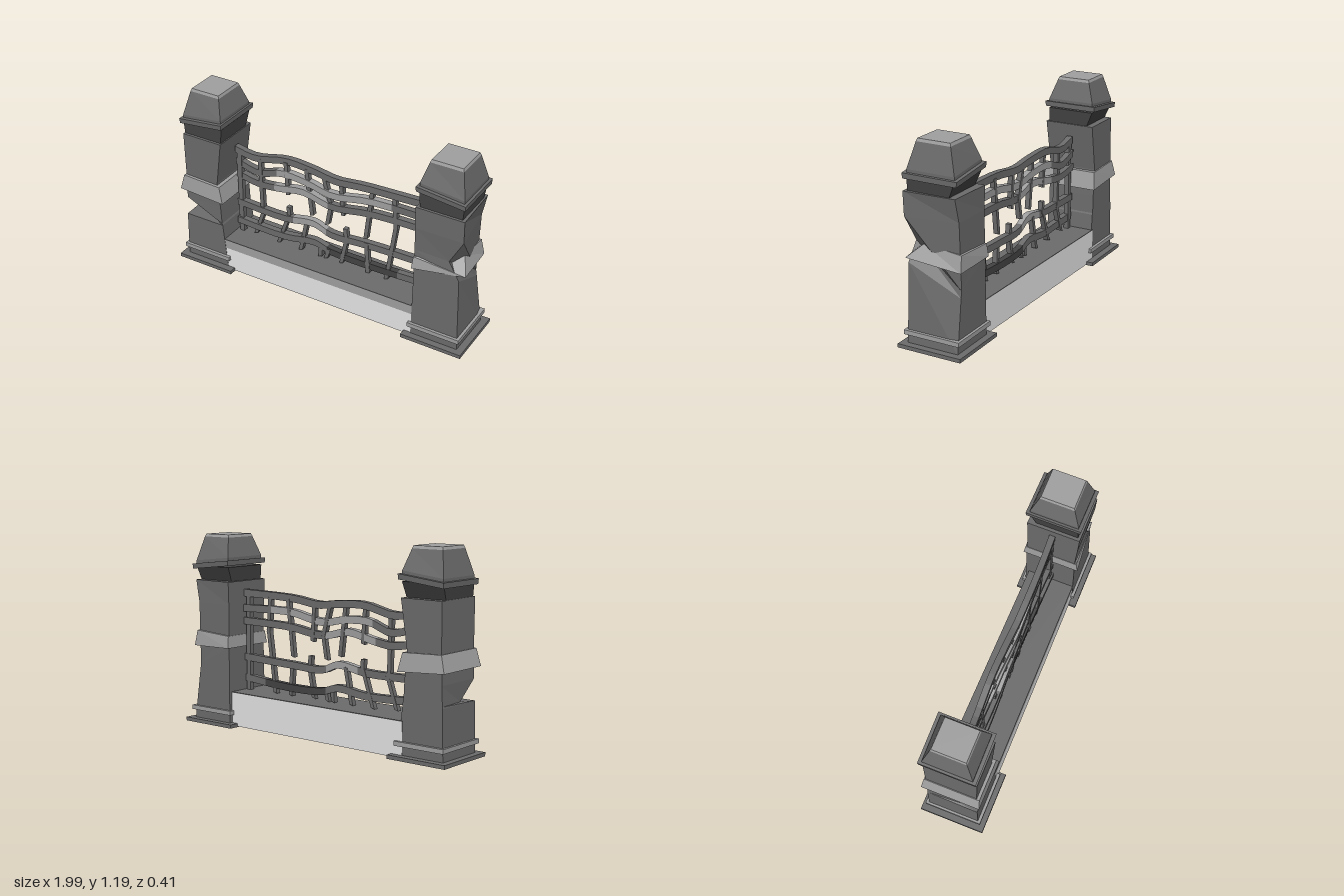
import * as THREE from 'three';

const mat = (name, color) => Object.assign(new THREE.MeshStandardMaterial({ color, flatShading: true }), { name });
const stone = mat('dark stone', 0x6b6b6b);
const trim = mat('trim stone', 0x9f9f9f);
const pale = mat('pale stone', 0xe4e4e4);
const shadowStone = mat('charcoal stone', 0x434343);

// Skins four-cornered cross-sections; pick(i, k) gives the material index of span i, side k.
function loft(name, rings, materials, pick = () => 0, endIndex = 0) {
  const pos = [];
  const geo = new THREE.BufferGeometry();
  const quad = (a, b, c, d, m) => {
    geo.addGroup(pos.length / 3, 6, m);
    for (const p of [a, b, c, a, c, d]) pos.push(...p);
  };
  const first = rings[0], last = rings[rings.length - 1];
  quad(first[3], first[2], first[1], first[0], 0);
  for (let i = 0; i < rings.length - 1; i++) {
    const a = rings[i], b = rings[i + 1];
    for (let k = 0; k < 4; k++) {
      const n = (k + 1) % 4;
      quad(a[n], b[n], b[k], a[k], pick(i, k));
    }
  }
  quad(last[0], last[1], last[2], last[3], endIndex);
  geo.setAttribute('position', new THREE.Float32BufferAttribute(pos, 3));
  geo.computeVertexNormals();
  const mesh = new THREE.Mesh(geo, materials);
  mesh.name = name;
  return mesh;
}

// Level rectangle; corners run front right, back right, back left, front left.
// slope tilts it along x, moved replaces chosen corners.
function rect(y, x0, x1, z0, z1, slope = 0, moved = {}) {
  const h = (x) => y + slope * (x - (x0 + x1) / 2);
  const r = [[x1, h(x1), z1], [x1, h(x1), z0], [x0, h(x0), z0], [x0, h(x0), z1]];
  for (const k in moved) r[k] = moved[k];
  return r;
}

// Plinth, foot trim, neck and cap shared by both pillars
function pillar(name, side, shaftRings, bandRings, capTilt) {
  const g = new THREE.Group();
  g.name = name;
  const c = 0.8 * side;
  const sq = (y, h, hz, s = 0) => rect(y, c - h, c + h, -hz, hz, s);
  g.add(
    loft('basePlate', [sq(0.005, 0.195, 0.203), sq(0.028, 0.195, 0.203)], [stone]),
    loft('footTrim', [sq(0.08, 0.167, 0.178), sq(0.107, 0.167, 0.178)], [trim]),
    loft('shaft', shaftRings, [stone]),
    loft('middleBand', bandRings, [trim]),
    loft('neck', [rect(0.9, c - 0.128, c + 0.132, -0.108, 0.152), sq(1.0, 0.138, 0.15)], [shadowStone]),
    loft('capLedge', [sq(0.995, 0.15, 0.168, capTilt), sq(1.027, 0.152, 0.172, capTilt)], [stone]),
    loft('cap', [
      sq(1.02, 0.137, 0.15, capTilt), sq(1.045, 0.137, 0.15, capTilt),
      sq(1.18, 0.102, 0.108), sq(1.197, 0.096, 0.102),
    ], [stone, trim], (i) => (i === 2 ? 1 : 0), 1),
  );
  return g;
}

// Wavy rail through [x, y] points; colour spans are [from, to, material index]
function rail(index, points, spans) {
  const curve = new THREE.CatmullRomCurve3(points.map(([x, y]) => new THREE.Vector3(x, y, 0)));
  const centres = curve.getPoints(20);
  const rings = centres.map((p) => {
    const z = 0.008 * Math.sin(p.x * 5 + index), y0 = p.y - 0.022, y1 = p.y + 0.022;
    return [[p.x, y0, z + 0.019], [p.x, y0, z - 0.019], [p.x, y1, z - 0.019], [p.x, y1, z + 0.019]];
  });
  const pick = (i) => {
    const x = (centres[i].x + centres[i + 1].x) / 2;
    const hit = spans.find(([a, b]) => x > a && x < b);
    return hit ? hit[2] : 0;
  };
  return loft('rail' + (index + 1), rings, [stone, trim, shadowStone], pick);
}

export function createModel() {
  const model = new THREE.Group();

  // Left-hand pillar with a chipped front outer corner
  model.add(pillar('chippedPillar', -1, [
    rect(0.02, -0.955, -0.65, -0.16, 0.16),
    rect(0.325, -0.948, -0.68, -0.158, 0.16),
    rect(0.335, -0.946, -0.685, -0.158, 0.158, 0, { 3: [-0.935, 0.335, 0.03] }),
    rect(0.45, -0.94, -0.69, -0.157, 0.158),
    rect(0.62, -0.935, -0.705, -0.156, 0.16),
    rect(0.91, -0.932, -0.66, -0.155, 0.168),
  ], [
    rect(0.51, -0.968, -0.655, -0.178, 0.185, -0.06),
    rect(0.615, -0.94, -0.68, -0.165, 0.178, -0.04),
  ], 0.11));

  // Right-hand pillar with a pinched back edge and a chipped front outer corner
  model.add(pillar('pinchedPillar', 1, [
    rect(0.02, 0.65, 0.953, -0.162, 0.162),
    rect(0.5, 0.652, 0.935, -0.16, 0.155, 0, { 1: [0.907, 0.34, -0.16] }),
    rect(0.62, 0.652, 0.9, -0.158, 0.155, 0, { 0: [0.865, 0.61, 0.148], 1: [0.9, 0.38, -0.16] }),
    rect(0.77, 0.652, 0.953, -0.158, 0.163, 0, { 1: [0.91, 0.77, -0.157] }),
    rect(0.91, 0.652, 0.953, -0.162, 0.168, 0, { 1: [0.94, 0.91, -0.152] }),
  ], [
    rect(0.5, 0.645, 0.965, -0.178, 0.178, 0, { 0: [0.972, 0.54, 0.15], 1: [0.935, 0.495, -0.178] }),
    rect(0.575, 0.65, 0.93, -0.168, 0.165, 0, { 0: [0.92, 0.62, 0.06], 1: [0.915, 0.592, -0.172] }),
  ], -0.11));

  // Low wall: pale body, trim course with a pale back, dark walking surface
  const wall = new THREE.Group();
  wall.name = 'wall';
  const course = (name, y0, y1, mats) => {
    const ring = (y) => rect(y, -0.68, 0.68, -0.15, 0.158, 0, { 2: [-0.68, y, -0.162], 1: [0.68, y, -0.14] });
    wall.add(loft(name, [ring(y0), ring(y1)], mats, (i, k) => (k === 1 ? mats.length - 1 : 0)));
  };
  course('wallBody', 0.01, 0.162, [pale]);
  course('wallCourse', 0.162, 0.219, [trim, pale]);
  course('wallTop', 0.219, 0.224, [stone]);
  model.add(wall);

  // Fence rails, top to bottom
  const fence = new THREE.Group();
  fence.name = 'fence';
  const rails = [
    [[[-0.66, 0.81], [-0.52, 0.785], [-0.3, 0.828], [-0.1, 0.82], [0.05, 0.803], [0.25, 0.825], [0.66, 0.835]], []],
    [[[-0.66, 0.725], [-0.5, 0.685], [-0.33, 0.735], [-0.15, 0.73], [0.03, 0.7], [0.28, 0.742], [0.66, 0.74]],
      [[-0.37, 0.42, 1]]],
    [[[-0.66, 0.635], [-0.5, 0.61], [-0.35, 0.627], [-0.17, 0.66], [0.02, 0.62], [0.28, 0.652], [0.66, 0.66]],
      [[-0.36, 0.02, 1]]],
    [[[-0.66, 0.432], [-0.3, 0.43], [-0.1, 0.458], [0.02, 0.415], [0.25, 0.42], [0.66, 0.432]],
      [[-0.26, 0, 1]]],
    [[[-0.66, 0.302], [-0.3, 0.293], [-0.1, 0.318], [0.02, 0.285], [0.3, 0.278], [0.66, 0.3]],
      [[0, 0.52, 2]]],
  ];
  rails.forEach(([points, spans], i) => fence.add(rail(i, points, spans)));

  // Bent and snapped uprights: bottom x, y to top x, y
  const bars = [
    [-0.635, 0.22, -0.635, 0.82], [0.625, 0.22, 0.622, 0.83],
    [-0.475, 0.42, -0.485, 0.79], [-0.53, 0.24, -0.465, 0.43],
    [-0.285, 0.6, -0.3, 0.82], [-0.28, 0.43, -0.285, 0.51], [-0.36, 0.23, -0.285, 0.45],
    [-0.115, 0.51, -0.155, 0.82], [-0.2, 0.23, -0.155, 0.45],
    [-0.01, 0.48, 0.015, 0.62], [0.015, 0.62, -0.04, 0.82], [-0.06, 0.23, -0.055, 0.3], [-0.02, 0.23, 0, 0.3],
    [0.1, 0.58, 0.085, 0.8], [0.125, 0.4, 0.115, 0.49], [0.09, 0.235, 0.125, 0.42],
    [0.255, 0.47, 0.295, 0.82], [0.275, 0.23, 0.26, 0.44],
    [0.4, 0.23, 0.455, 0.62], [0.455, 0.6, 0.44, 0.82],
  ];
  bars.forEach(([x0, y0, x1, y1]) => {
    const w = Math.abs(x0) > 0.6 ? 0.016 : 0.013;
    const ring = (x, y, s) => rect(y, x - w, x + w, -0.015, 0.015, s);
    fence.add(loft('upright', [ring(x0, y0, 0.3), ring(x1, y1, 0)], [stone]));
  });
  model.add(fence);
  return model;
}
